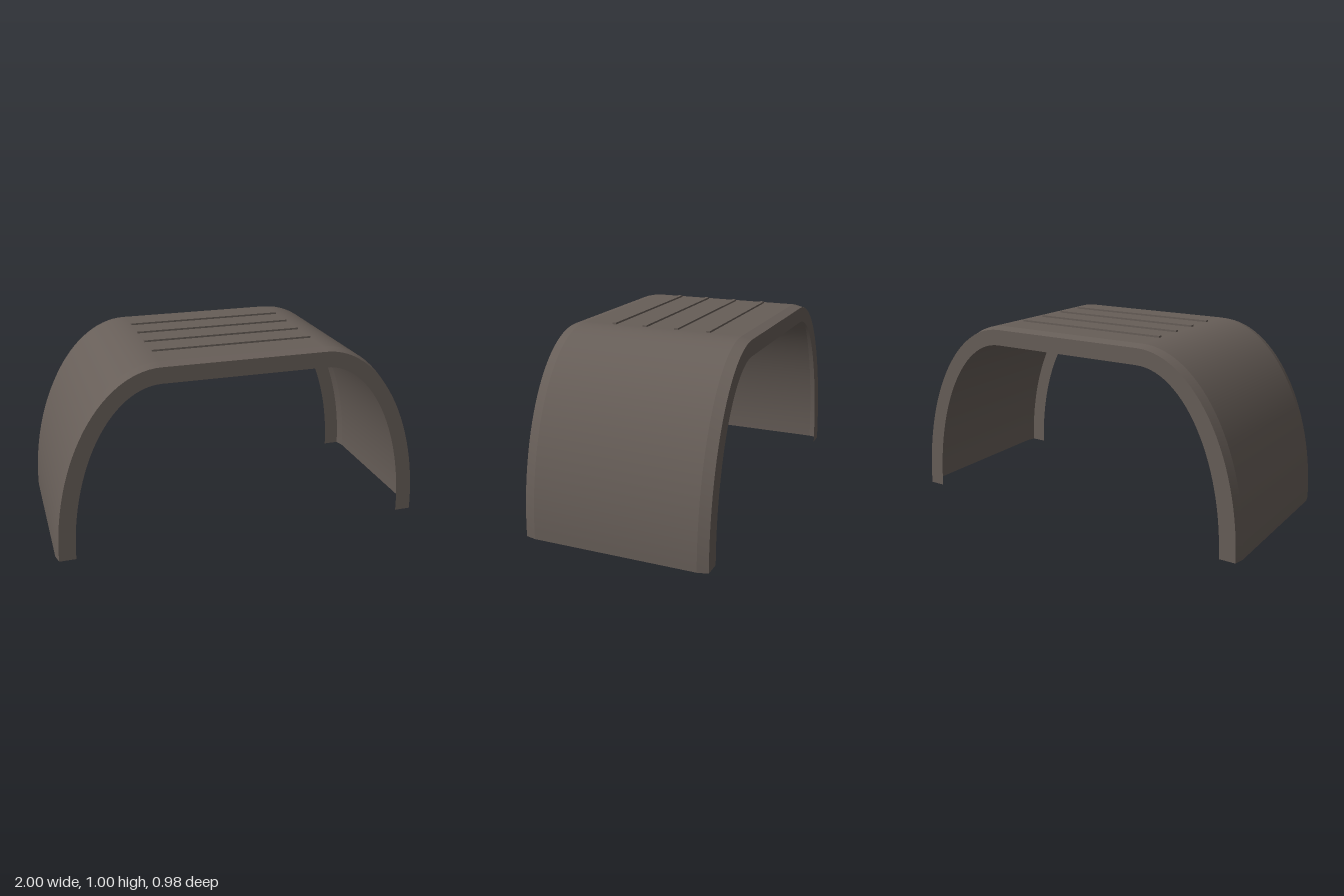
import * as THREE from 'three';

const HALF_FLAT = 0.43, HEIGHT = 0.99, ARC_STEPS = 28;

// Arch outline from the left foot over the flat top to the right foot
function archOutline(inset) {
  const rx = 1 - HALF_FLAT - inset, ry = HEIGHT - inset * 0.96;
  const half = [];
  for (let i = 0; i <= ARC_STEPS; i++) {
    const a = (i / ARC_STEPS) * Math.PI / 2;
    half.push([HALF_FLAT + rx * Math.cos(a), ry * Math.sin(a)]);
  }
  return [...half, ...half.slice().reverse().map(([x, y]) => [-x, y])];
}

// Surface between two arch outlines, each given as [inset, z]
function archBand(from, to) {
  const rows = [from, to].map(([inset, z]) => archOutline(inset).map(([x, y]) => [x, y, z]));
  const n = rows[0].length, index = [];
  for (let i = 0; i < n - 1; i++) {
    index.push(i, n + i, i + 1, i + 1, n + i, n + i + 1);
  }
  const geometry = new THREE.BufferGeometry();
  geometry.setAttribute('position', new THREE.Float32BufferAttribute(rows.flat(2), 3));
  geometry.setIndex(index);
  geometry.computeVertexNormals();
  return geometry;
}

export function createModel() {
  const group = new THREE.Group();
  group.name = 'wheelFender';
  const plastic = new THREE.MeshStandardMaterial({ color: 0x675e58, side: THREE.DoubleSide });
  plastic.name = 'dark grey brown plastic';

  const add = (name, geometry) => {
    const mesh = new THREE.Mesh(geometry, plastic);
    mesh.name = name;
    group.add(mesh);
    return mesh;
  };

  // Thin shell: inward lip, bevel, arch, bevel, inward lip
  const sections = [[0.1, 0.49], [0.013, 0.49], [0, 0.435], [0, -0.435], [0.013, -0.49], [0.1, -0.49]];
  const names = ['frontLip', 'frontBevel', 'archShell', 'backBevel', 'backLip'];
  names.forEach((name, i) => add(name, archBand(sections[i], sections[i + 1])));

  // Raised grip ribs on the flat top
  [0.26, 0.087, -0.087, -0.26].forEach((z, i) => {
    add('topRib' + (i + 1), new THREE.BoxGeometry(HALF_FLAT * 2, 0.0095, 0.022))
      .position.set(0, 0.99525, z);
  });
  return group;
}
